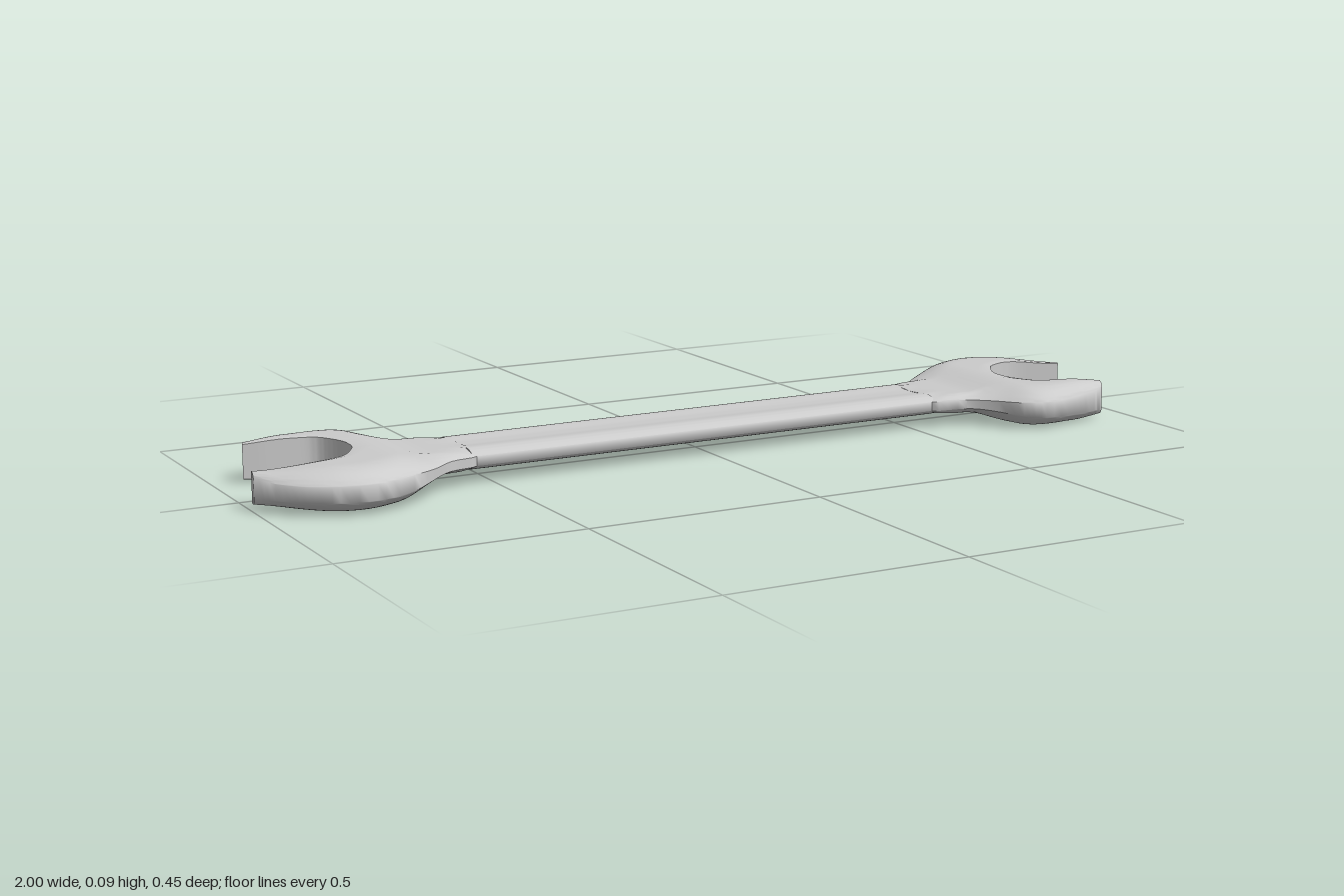
import * as THREE from 'three';
import { toCreasedNormals } from 'three/addons/utils/BufferGeometryUtils.js';

const steel = new THREE.MeshStandardMaterial({ color: 0xcccccc });
const NECK = 0.54;       // where the handle meets each head
const HEAD_H = 0.044;    // half thickness of a head
const HANDLE_H = 0.022;  // half thickness of the handle

const smooth = THREE.MathUtils.smoothstep;
const lerp = THREE.MathUtils.lerp;

// Skin a list of closed rings and cap both ends
function loft(rings) {
  const n = rings[0].length, pos = [], idx = [];
  rings.forEach(r => r.forEach(p => pos.push(p.x, p.y, p.z)));
  for (let i = 0; i < rings.length - 1; i++) {
    for (let j = 0; j < n; j++) {
      const k = (j + 1) % n;
      const a = i * n + j, b = i * n + k, c = b + n, d = a + n;
      idx.push(a, b, c, a, c, d);
    }
  }
  [0, rings.length - 1].forEach((r, end) => {
    const mid = new THREE.Vector3();
    rings[r].forEach(p => mid.addScaledVector(p, 1 / n));
    const m = pos.length / 3;
    pos.push(mid.x, mid.y, mid.z);
    for (let j = 0; j < n; j++) {
      const a = r * n + j, b = r * n + (j + 1) % n;
      if (end) idx.push(m, a, b); else idx.push(m, b, a);
    }
  });
  const g = new THREE.BufferGeometry();
  g.setAttribute('position', new THREE.Float32BufferAttribute(pos, 3));
  g.setIndex(idx);
  return toCreasedNormals(g, 0.75);
}

// Closed ring from upper-surface points [x, z, halfHeight, centreY]
function ring(pts) {
  const top = pts.map(([x, z, h, y]) => new THREE.Vector3(x, y + h, z));
  const bottom = pts.map(([x, z, h, y]) => new THREE.Vector3(x, y - h, z)).reverse();
  return [...top, ...bottom];
}

// Handle section: shallow channel in the middle, rounded rims
function handleRatio(u) {
  const a = Math.abs(u);
  const rim = a > 0.6 ? Math.sqrt(1 - 0.8 * ((a - 0.6) / 0.4) ** 2) : 1;
  return rim * lerp(0.85, 1, smooth(a, 0.15, 0.6));
}

function handleGeometry() {
  const rings = [], L = NECK + 0.008;
  for (let i = 0; i <= 16; i++) {
    const f = i / 16, x = lerp(-L, L, f), pts = [];
    for (let j = 0; j <= 28; j++) {
      const u = -Math.cos(Math.PI * j / 28);
      const z = u < 0 ? u * lerp(0.084, 0.093, f) : u * 0.088;
      pts.push([x, z, HANDLE_H * handleRatio(u), 0.048]);
    }
    rings.push(ring(pts));
  }
  return loft(rings);
}

// Stations round the head from tip to tip: outer x, z, mouth x, z, edge height ratio
const stations = [
  [0.998, -0.09, 0.995, -0.068, 0.7], [0.97, -0.135, 0.95, -0.08, 0.5],
  [0.925, -0.185, 0.9, -0.092, 0.4], [0.87, -0.218, 0.86, -0.092, 0.36],
  [0.8, -0.23, 0.815, -0.075, 0.36], [0.73, -0.205, 0.795, -0.055, 0.38],
  [0.66, -0.16, 0.78, -0.03, 0.42], [0.6, -0.11, 0.772, -0.015, 0.45],
  [NECK, -0.093, 0.767, 0, 0.45], [NECK, -0.055, 0.765, 0.012, 1],
  [NECK, 0, 0.765, 0.027, 0.85], [NECK, 0.053, 0.765, 0.042, 1],
  [NECK, 0.088, 0.768, 0.055, 0.45], [0.62, 0.105, 0.773, 0.07, 0.45],
  [0.66, 0.14, 0.78, 0.085, 0.42], [0.705, 0.2, 0.79, 0.103, 0.38],
  [0.75, 0.222, 0.805, 0.118, 0.36], [0.835, 0.21, 0.845, 0.13, 0.42],
  [0.9, 0.193, 0.9, 0.143, 0.55], [0.93, 0.18, 0.94, 0.155, 0.7],
];

function headGeometry() {
  const curve = (a, b) => new THREE.CatmullRomCurve3(
    stations.map(s => new THREE.Vector3(s[a], 0, s[b])));
  const outer = curve(0, 1), inner = curve(2, 3);
  const last = stations.length - 1, steps = last * 4, N = 18, rings = [];
  for (let i = 0; i <= steps; i++) {
    const f = i / steps, o = outer.getPoint(f), m = inner.getPoint(f);
    o.x = Math.max(o.x, NECK - 0.003);
    const k = Math.min(Math.floor(f * last), last - 1);
    const edge = lerp(stations[k][4], stations[k + 1][4], f * last - k);
    // Rounding of the outer rim has a fixed width
    const start = 1 - Math.min(0.075 / o.distanceTo(m), 0.65);
    const pts = [];
    for (let j = 0; j <= N; j++) {
      const t = 1 - (1 - j / N) ** 1.6;
      const x = lerp(m.x, o.x, t), z = lerp(m.z, o.z, t);
      const rise = smooth(x, 0.63, 0.74);
      const r = Math.max(0, (t - start) / (1 - start));
      const h = lerp(HANDLE_H, HEAD_H, rise) * (1 - 0.28 * smooth(x, 0.85, 1))
        * Math.sqrt(1 - r * r * (1 - edge * edge)) * (j ? 1 : 0.96);
      pts.push([x, z, h, lerp(0.048, 0.044, rise)]);
    }
    rings.push(ring(pts));
  }
  return loft(rings);
}

export function createModel() {
  const wrench = new THREE.Group();
  wrench.name = 'openEndWrench';

  const handle = new THREE.Mesh(handleGeometry(), steel);
  handle.name = 'handle';
  wrench.add(handle);

  // The second head is the first turned half round, slightly narrower
  const geometry = headGeometry();
  [['leftHead', 0, 1], ['rightHead', Math.PI, 0.95]].forEach(([name, turn, width]) => {
    const head = new THREE.Mesh(geometry, steel);
    head.name = name;
    head.rotation.y = turn;
    head.scale.z = width;
    wrench.add(head);
  });
  return wrench;
}
